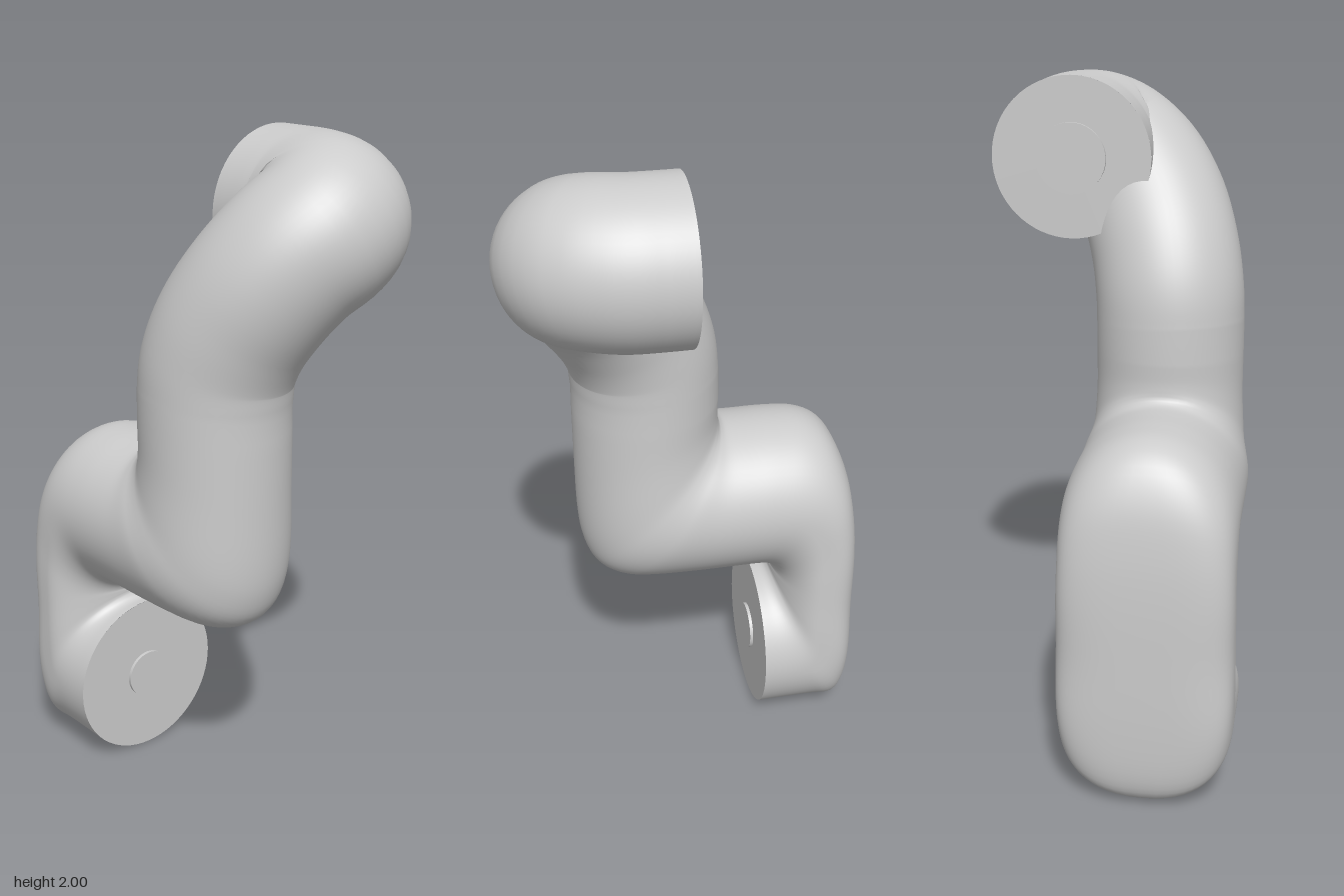
import * as THREE from 'three';

const SIDES = 64;
const Z0 = 0.13; // depth plane of the lower links

// Lower links: [inner x, y, outer x, y, half depth, squareness of the outer side]
const LOWER = [
  [-0.23, 0.515, -0.23, 0.003, 0.255, 2],
  [-0.255, 0.515, -0.35, 0.004, 0.255, 2],
  [-0.27, 0.522, -0.44, 0.01, 0.255, 2.1],
  [-0.278, 0.533, -0.497, 0.03, 0.255, 2.5],
  [-0.28, 0.54, -0.527, 0.1, 0.255, 3],
  [-0.28, 0.545, -0.538, 0.25, 0.255, 3.8],
  [-0.28, 0.55, -0.54, 0.45, 0.253, 3.3],
  [-0.28, 0.555, -0.538, 0.65, 0.252, 3.5],
  [-0.275, 0.565, -0.528, 0.8, 0.25, 3.3],
  [-0.265, 0.575, -0.505, 0.93, 0.25, 2.7],
  [-0.25, 0.583, -0.455, 1.03, 0.25, 2.2],
  [-0.23, 0.588, -0.38, 1.078, 0.25, 2],
  [-0.2, 0.59, -0.28, 1.088, 0.25, 2],
  [-0.13, 0.59, -0.19, 1.088, 0.25, 2],
  [0.0, 0.59, -0.137, 1.09, 0.25, 2],
  [0.15, 0.595, -0.118, 1.1, 0.25, 2],
  [0.23, 0.61, -0.112, 1.11, 0.245, 2],
  [0.285, 0.65, -0.11, 1.12, 0.238, 2],
  [0.315, 0.72, -0.109, 1.13, 0.23, 2],
  [0.328, 0.82, -0.108, 1.145, 0.225, 2],
  [0.33, 1.0, -0.108, 1.165, 0.22, 2],
  [0.33, 1.2, -0.11, 1.21, 0.22, 2],
];

// Centre line of the upper arm, curling back and round to the wrist
const UPPER = [
  [0.11, 1.28, 0.13], [0.122, 1.38, 0.125], [0.165, 1.49, 0.105], [0.23, 1.6, 0.065],
  [0.285, 1.69, 0.005], [0.315, 1.745, -0.065], [0.285, 1.767, -0.118],
  [0.2, 1.77, -0.15], [0.12, 1.77, -0.155], [0.04, 1.77, -0.155],
];

const curve = (pts) => new THREE.CatmullRomCurve3(pts, false, 'catmullrom', 0.5);

// Points of one ring; u and v are its half axes, n squares off the +u side
function ring(centre, u, v, n = 2) {
  const pts = [];
  for (let j = 0; j <= SIDES; j++) {
    const t = ((j % SIDES) / SIDES) * Math.PI * 2;
    const c = Math.cos(t), s = Math.sin(t);
    const e = c > 0 ? 2 / n : 1;
    pts.push(centre.clone()
      .addScaledVector(u, Math.sign(c) * Math.abs(c) ** e)
      .addScaledVector(v, Math.sign(s) * Math.abs(s) ** e));
  }
  return pts;
}

function lowerRings() {
  const inner = curve(LOWER.map((r) => new THREE.Vector3(r[0], r[1], Z0)));
  const outer = curve(LOWER.map((r) => new THREE.Vector3(r[2], r[3], Z0)));
  const shape = curve(LOWER.map((r) => new THREE.Vector3(r[4], r[5], 0)));
  const steps = (LOWER.length - 1) * 4;
  return Array.from({ length: steps + 1 }, (_, i) => {
    const a = inner.getPoint(i / steps), b = outer.getPoint(i / steps), s = shape.getPoint(i / steps);
    const centre = a.clone().add(b).multiplyScalar(0.5);
    return ring(centre, b.sub(centre), new THREE.Vector3(0, 0, s.x), s.y);
  });
}

function upperRings() {
  const path = curve(UPPER.map((p) => new THREE.Vector3(...p)));
  const steps = 48;
  const u = new THREE.Vector3(-1, 0, 0), v = new THREE.Vector3(0, 0, 1);
  let previous = new THREE.Vector3(0, 1, 0);
  return Array.from({ length: steps + 1 }, (_, i) => {
    const tangent = i === steps ? new THREE.Vector3(-1, 0, 0) : path.getTangent(i / steps);
    const turn = new THREE.Quaternion().setFromUnitVectors(previous, tangent);
    u.applyQuaternion(turn);
    v.applyQuaternion(turn);
    previous = tangent;
    const r = 0.22 + 0.012 * THREE.MathUtils.smoothstep(i / steps, 0.4, 0.8);
    return ring(path.getPoint(i / steps), u.clone().multiplyScalar(r), v.clone().multiplyScalar(r));
  });
}

// Skin a series of rings with smooth normals
function loft(rings) {
  const index = [], w = SIDES + 1;
  for (let i = 0; i < rings.length - 1; i++) {
    for (let j = 0; j < SIDES; j++) {
      const a = i * w + j, b = i * w + ((j + 1) % SIDES);
      index.push(a, b, a + w, b, b + w, a + w);
    }
  }
  const geometry = new THREE.BufferGeometry().setFromPoints(rings.flat());
  geometry.setIndex(index);
  geometry.computeVertexNormals();
  return geometry;
}

export function createModel() {
  const model = new THREE.Group();
  model.name = 'bentArm';
  const material = new THREE.MeshStandardMaterial({ color: 0xcccccc });
  const add = (name, geometry) => {
    const mesh = new THREE.Mesh(geometry, material);
    mesh.name = name;
    model.add(mesh);
    return mesh;
  };

  // Continuous casing of all links
  add('armCasing', loft([...lowerRings(), ...upperRings()]));

  // Flat joint faces with a small raised hub; facing is +1 or -1 along x
  const joint = (name, x, y, z, radius, hubRadius, facing) => {
    const face = add(name + 'Face', new THREE.CircleGeometry(radius, SIDES));
    face.position.set(x, y, z);
    face.rotation.y = facing * Math.PI / 2;
    const hub = add(name + 'Hub', new THREE.CylinderGeometry(hubRadius, hubRadius, 0.02, 40));
    hub.position.set(x, y, z);
    hub.rotation.z = Math.PI / 2;
  };
  joint('lowerJoint', -0.23, 0.259, Z0, 0.2555, 0.076, 1);
  joint('upperJoint', 0.04, 1.77, -0.155, 0.232, 0.102, -1);

  return model;
}
